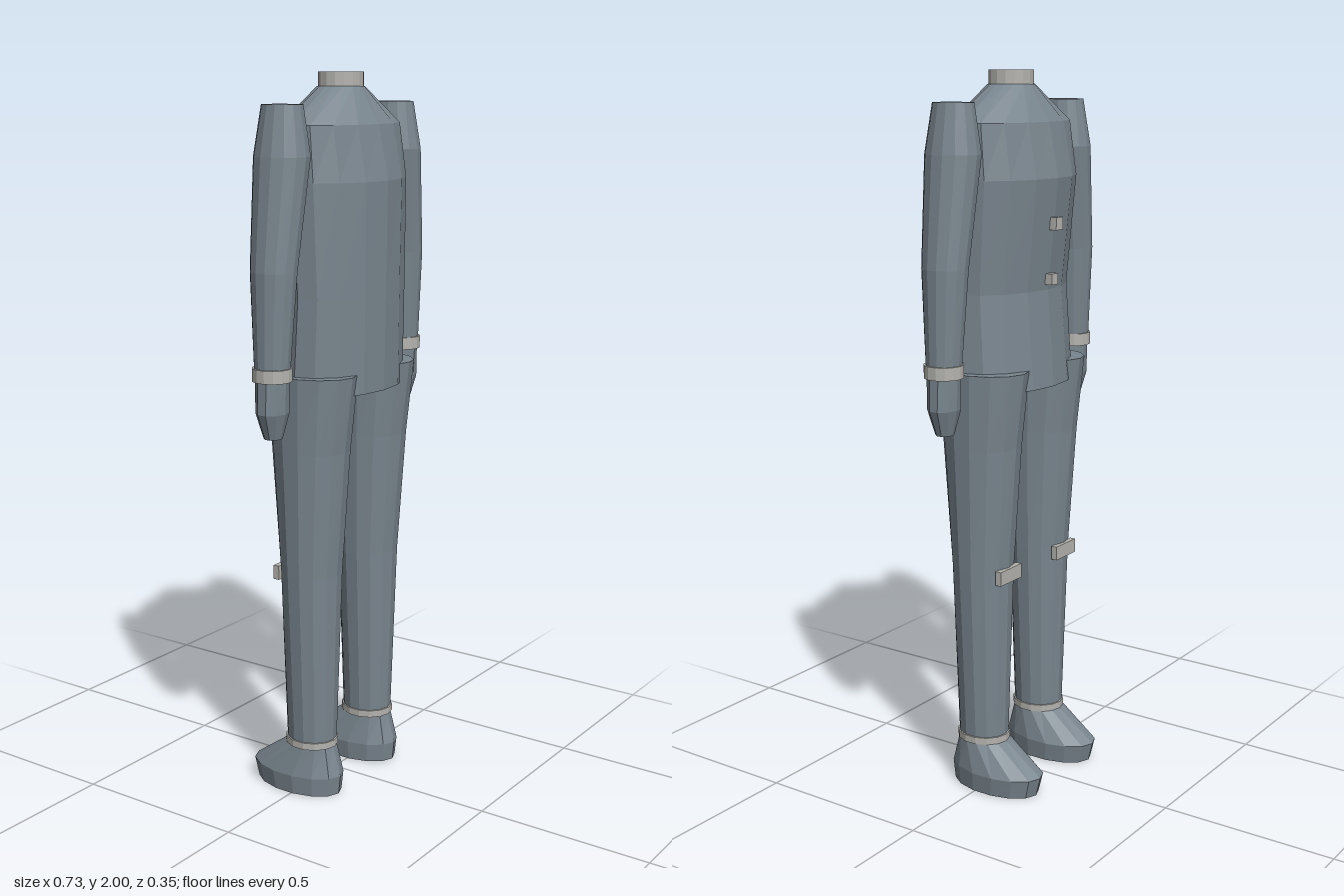
import * as THREE from 'three';

const cloth = new THREE.MeshStandardMaterial({ name: 'slate cloth', color: 0x7a868f, flatShading: true });
const trim = new THREE.MeshStandardMaterial({ name: 'pale trim', color: 0xb5b4af, flatShading: true });

// Closed loft through elliptical rings [y, centreX, centreZ, radiusX, radiusZ], listed bottom to top
function loft(name, rings, sides, material) {
  const pos = [], index = [];
  for (const [y, cx, cz, rx, rz] of rings) {
    for (let i = 0; i < sides; i++) {
      const a = (i / sides) * Math.PI * 2;
      pos.push(cx + rx * Math.sin(a), y, cz + rz * Math.cos(a));
    }
  }
  for (let r = 0; r < rings.length - 1; r++) {
    for (let i = 0; i < sides; i++) {
      const j = (i + 1) % sides;
      const a = r * sides + i, b = r * sides + j;
      index.push(a, b, b + sides, a, b + sides, a + sides);
    }
  }
  // end caps
  const top = (rings.length - 1) * sides;
  for (let i = 1; i < sides - 1; i++) {
    index.push(0, i + 1, i, top, top + i, top + i + 1);
  }
  const geometry = new THREE.BufferGeometry();
  geometry.setAttribute('position', new THREE.Float32BufferAttribute(pos, 3));
  geometry.setIndex(index);
  geometry.computeVertexNormals();
  const mesh = new THREE.Mesh(geometry, material);
  mesh.name = name;
  return mesh;
}

function box(name, w, h, d, x, y, z) {
  const mesh = new THREE.Mesh(new THREE.BoxGeometry(w, h, d), trim);
  mesh.name = name;
  mesh.position.set(x, y, z);
  return mesh;
}

function createArm(side) {
  const arm = new THREE.Group();
  arm.name = side > 0 ? 'leftArm' : 'rightArm';
  const x = (v) => side * v;
  arm.add(
    loft('sleeve', [
      [1.23, x(0.312), 0.02, 0.047, 0.048],
      [1.5, x(0.302), 0.02, 0.059, 0.064],
      [1.79, x(0.263), 0.02, 0.07, 0.077],
      [1.92, x(0.26), 0.02, 0.049, 0.057],
    ], 14, cloth),
    loft('cuff', [
      [1.215, x(0.312), 0.02, 0.053, 0.054],
      [1.25, x(0.312), 0.02, 0.053, 0.054],
    ], 14, trim),
    loft('hand', [
      [1.06, x(0.31), 0.02, 0.027, 0.024],
      [1.13, x(0.312), 0.02, 0.05, 0.042],
      [1.22, x(0.312), 0.02, 0.046, 0.045],
    ], 10, cloth),
  );
  return arm;
}

function createLeg(side) {
  const leg = new THREE.Group();
  leg.name = side > 0 ? 'leftLeg' : 'rightLeg';
  const x = side * 0.14;
  leg.add(
    loft('trouserLeg', [
      [0.14, x, 0.02, 0.065, 0.072],
      [0.65, x, 0.02, 0.088, 0.086],
      [1.0, x, 0.02, 0.099, 0.112],
      [1.21, x, 0.02, 0.105, 0.137],
    ], 14, cloth),
    loft('ankleBand', [
      [0.14, x, 0.02, 0.07, 0.077],
      [0.16, x, 0.02, 0.07, 0.077],
    ], 14, trim),
    loft('foot', [
      [0, x, -0.024, 0.077, 0.136],
      [0.055, x, -0.028, 0.083, 0.146],
      [0.142, x, 0.02, 0.065, 0.072],
    ], 14, cloth),
    box('calfStrap', 0.1, 0.04, 0.018, x, 0.64, -0.066),
  );
  return leg;
}

export function createModel() {
  const model = new THREE.Group();
  model.name = 'headlessFigure';
  model.add(
    loft('torso', [
      [1.155, 0, 0.022, 0.222, 0.143],
      [1.42, 0, 0.034, 0.217, 0.134],
      [1.72, 0, 0.02, 0.225, 0.152],
      [1.866, 0, 0.02, 0.222, 0.122],
      [1.963, 0, 0.02, 0.068, 0.062],
    ], 16, cloth),
    loft('neck', [
      [1.955, 0, 0.02, 0.065, 0.06],
      [2.0, 0, 0.02, 0.065, 0.06],
    ], 16, trim),
    box('upperButton', 0.034, 0.034, 0.026, 0, 1.6, -0.124),
    box('lowerButton', 0.03, 0.03, 0.024, 0, 1.45, -0.111),
  );
  for (const side of [-1, 1]) model.add(createArm(side), createLeg(side));
  return model;
}
